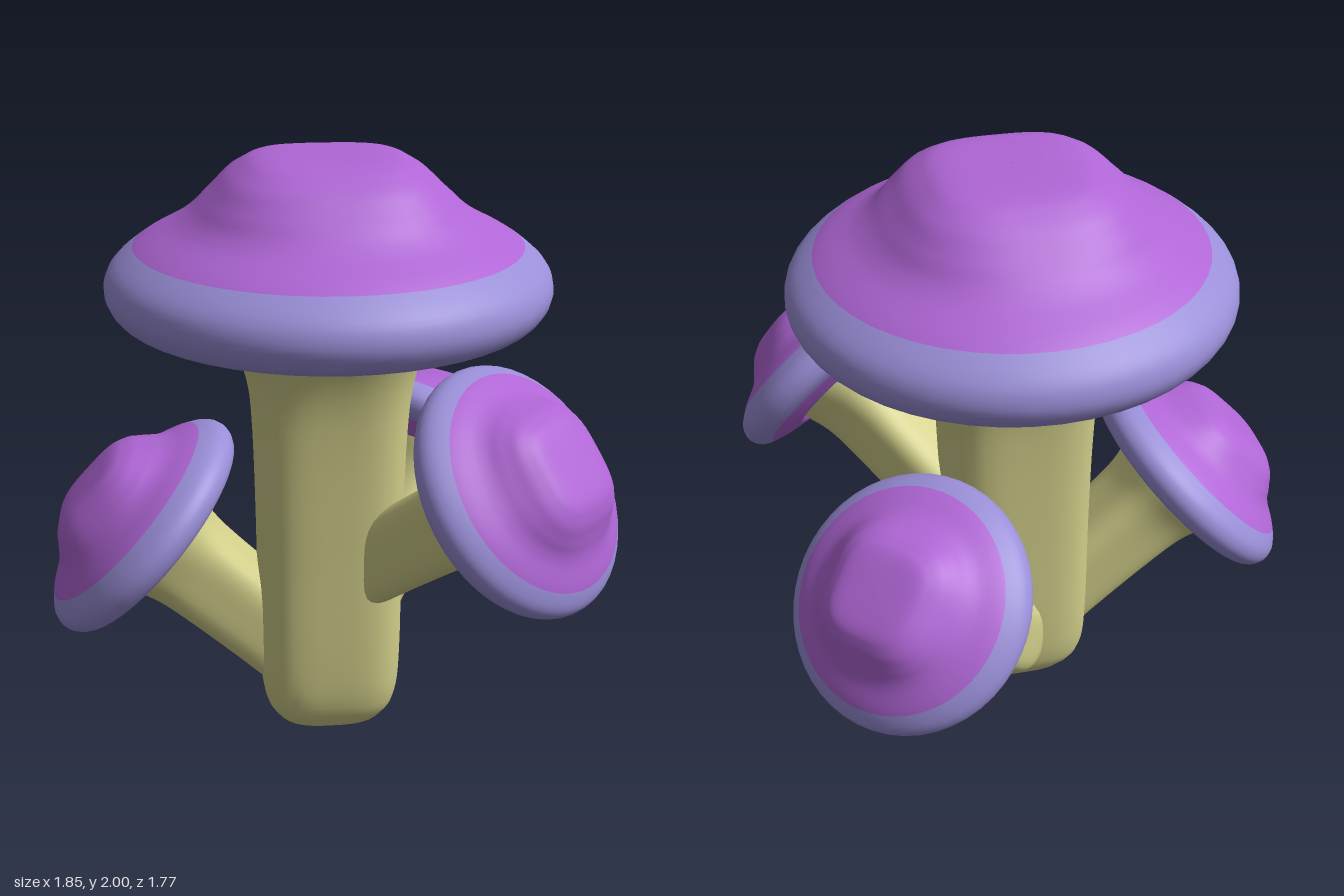
import * as THREE from 'three';

const SEGMENTS = 48; // around
const STEPS = 5;     // smooth rings between two profile points

// Profile points: [half-width, height, squareness exponent (2 = circle)]
const STEM = [
  [0.001, 0.0, 3], [0.13, 0.006, 3], [0.2, 0.05, 3.4], [0.235, 0.15, 3.8],
  [0.243, 0.3, 4], [0.245, 0.7, 4], [0.252, 1.05, 4], [0.275, 1.28, 3.4], [0.345, 1.47, 2.5],
];
const CAP = [
  [0.31, 1.475, 2.5], [0.385, 1.443, 2.2], [0.48, 1.452, 2], [0.615, 1.475, 2],
  [0.685, 1.505, 2], [0.72, 1.57, 2], [0.705, 1.64, 2], [0.625, 1.715, 2],
  [0.49, 1.79, 2.1], [0.385, 1.875, 2.6], [0.29, 1.955, 3.2], [0.2, 1.992, 3.4], [0.001, 2.0, 3.4],
];
const RIM_START = 3, RIM_END = 7; // cap points bounding the rim band

// Lathe-like skin whose rings blend between circles and rounded squares
function softLathe(profile, bands = []) {
  const curve = new THREE.CatmullRomCurve3(profile.map((p) => new THREE.Vector3(...p)));
  const rings = (profile.length - 1) * STEPS;
  const positions = [], indices = [];
  for (let i = 0; i <= rings; i++) {
    const p = curve.getPoint(i / rings);
    for (let j = 0; j < SEGMENTS; j++) {
      const a = (j / SEGMENTS) * Math.PI * 2;
      const c = Math.cos(a), s = Math.sin(a), n = Math.max(2, p.z);
      const r = Math.max(0.001, p.x) / Math.pow(Math.abs(c) ** n + Math.abs(s) ** n, 1 / n);
      positions.push(r * c, p.y, r * s);
      if (i < rings) {
        const k = (j + 1) % SEGMENTS, lo = i * SEGMENTS, hi = lo + SEGMENTS;
        indices.push(lo + j, hi + j, lo + k, lo + k, hi + j, hi + k);
      }
    }
  }
  const geometry = new THREE.BufferGeometry();
  geometry.setAttribute('position', new THREE.Float32BufferAttribute(positions, 3));
  geometry.setIndex(indices);
  geometry.computeVertexNormals();
  // Colour bands: [first point, last point, material index]
  for (const [from, to, material] of bands) {
    const size = STEPS * SEGMENTS * 6;
    geometry.addGroup(from * size, (to - from) * size, material);
  }
  return geometry;
}

export function createModel() {
  const material = (name, color) => {
    const m = new THREE.MeshStandardMaterial({ color });
    m.name = name;
    return m;
  };
  const purple = material('cap purple', 0xb066d6);
  const lavender = material('rim lavender', 0x9a8fd8);
  const cream = material('stem olive cream', 0xd2cf8a);

  const stemGeometry = softLathe(STEM);
  const capGeometry = softLathe(CAP, [
    [0, RIM_START, 0], [RIM_START, RIM_END, 1], [RIM_END, CAP.length - 1, 0],
  ]);

  const model = new THREE.Group();
  model.name = 'mushroomCluster';

  // rim = centre of the cap rim, yaw = heading of the lean, tilt = lean from upright
  function addMushroom(name, scale, rim, yaw, tilt) {
    const mushroom = new THREE.Group();
    mushroom.name = name;
    const stem = new THREE.Mesh(stemGeometry, cream);
    stem.name = 'stem';
    const cap = new THREE.Mesh(capGeometry, [purple, lavender]);
    cap.name = 'cap';
    mushroom.add(stem, cap);
    mushroom.scale.setScalar(scale);
    mushroom.rotation.set(tilt, yaw, 0, 'YXZ');
    const axis = new THREE.Vector3(0, 1, 0).applyEuler(mushroom.rotation);
    mushroom.position.set(...rim).addScaledVector(axis, -1.58 * scale);
    model.add(mushroom);
  }

  const deg = Math.PI / 180;
  addMushroom('mainMushroom', 1, [0.03, 1.58, 0.022], 0, 0);
  addMushroom('rightMushroom', 0.6, [-0.6, 0.745, 0.02], -90 * deg, 47 * deg);
  addMushroom('frontLeftMushroom', 0.575, [0.575, 1.04, 0.515], 45 * deg, 53 * deg);
  addMushroom('backLeftMushroom', 0.575, [0.48, 0.79, -0.53], 135 * deg, 45 * deg);
  return model;
}
